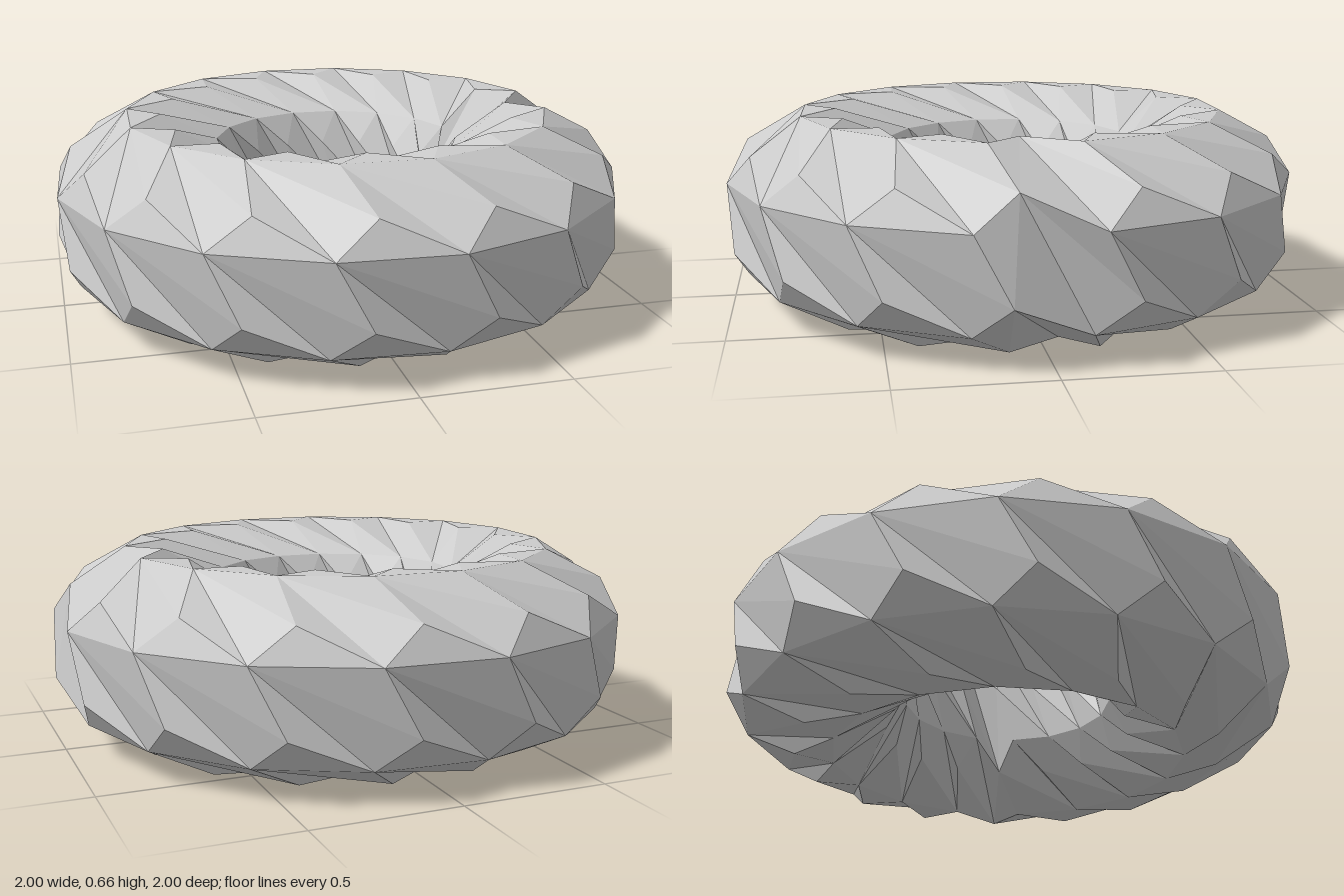
import * as THREE from 'three';

const COLUMNS = 16;       // panels around the ring
const ROWS = 6;           // panels around the tube
const RING = 0.7015;      // ring radius
const TUBE = 0.3915;      // tube radius
const TUBE_Y = 0.383;     // tube half height before panelling
const MIDDLE = 0.332;     // height of the ring's centre

// Point on the guiding torus, at whole column and row steps
function node(i, j) {
  const theta = (i / COLUMNS) * Math.PI * 2;
  const phi = (j / ROWS) * Math.PI * 2;
  const radius = RING + TUBE * Math.cos(phi);
  return new THREE.Vector3(
    radius * Math.sin(theta),
    MIDDLE + TUBE_Y * Math.sin(phi),
    radius * Math.cos(theta)
  );
}

const centre = (a, b, c) => a.add(b).add(c).divideScalar(3);
// Each grid cell is cut by a diagonal; panel corners are the triangle centres
const lower = (i, j) => centre(node(i, j), node(i + 1, j), node(i, j + 1));
const upper = (i, j) => centre(node(i + 1, j), node(i + 1, j + 1), node(i, j + 1));

export function createModel() {
  const group = new THREE.Group();
  group.name = 'hexagonRing';

  const positions = [];
  for (let i = 0; i < COLUMNS; i++) {
    for (let j = 0; j < ROWS; j++) {
      // Skewed hexagon around one grid node, counter-clockwise from outside
      const hex = [
        lower(i, j), upper(i - 1, j), lower(i - 1, j),
        upper(i - 1, j - 1), lower(i, j - 1), upper(i, j - 1),
      ];
      // One column is folded along a different diagonal
      const start = i === 4 ? 1 : 2;
      for (let k = 1; k < 5; k++) {
        for (const n of [0, k, k + 1]) positions.push(...hex[(start + n) % 6].toArray());
      }
    }
  }

  const geometry = new THREE.BufferGeometry();
  geometry.setAttribute('position', new THREE.Float32BufferAttribute(positions, 3));
  geometry.computeVertexNormals();

  const panels = new THREE.Mesh(
    geometry,
    new THREE.MeshStandardMaterial({ color: 0xcccccc, flatShading: true })
  );
  panels.name = 'hexagonPanels';
  group.add(panels);
  return group;
}
